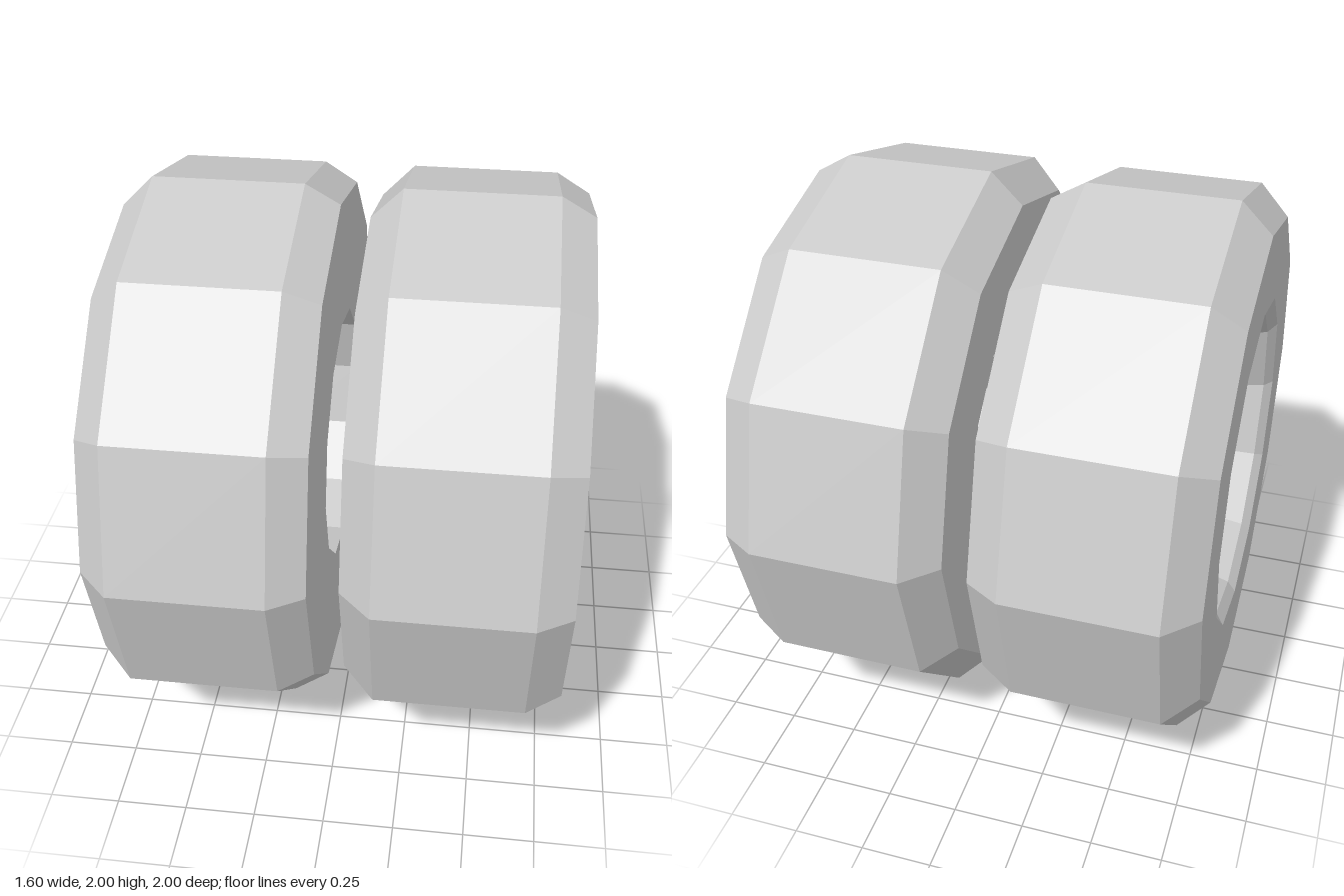
import * as THREE from 'three';

const material = new THREE.MeshStandardMaterial({ color: 0xcccccc, flatShading: true });

// Turns a profile of [radius, x] points (running from -x to +x on the outside) around the x axis
function turned(name, profile, sides = 12) {
  const points = profile.map(([r, x]) => new THREE.Vector2(r, x));
  const geometry = new THREE.LatheGeometry(points, sides);
  geometry.rotateZ(-Math.PI / 2);
  const mesh = new THREE.Mesh(geometry, material);
  mesh.name = name;
  return mesh;
}

// One wheel; its outer face, with the hub, looks towards -x and lies at x = 0
function createWheel(name) {
  const wheel = new THREE.Group();
  wheel.name = name;

  // Tyre with bevelled shoulders and a recess in its inner face
  wheel.add(turned('tyre', [
    [0.6, 0], [0.89, 0], [1, 0.11], [1, 0.63], [0.93, 0.75],
    [0.465, 0.75], [0.465, 0.49], [0, 0.49],
  ]));

  // Dished rim with a narrow bevelled lip
  wheel.add(turned('rim', [
    [0, 0.36], [0.46, 0.36], [0.56, 0.03], [0.6, 0],
  ]));

  // Raised hub plate with sloping sides
  wheel.add(turned('hubPlate', [
    [0, 0.18], [0.32, 0.18], [0.4, 0.36],
  ]));

  // Central hub cap
  wheel.add(turned('hubCap', [
    [0, 0.09], [0.1, 0.09], [0.12, 0.18],
  ], 6));

  // Five hexagonal wheel nuts
  for (let i = 0; i < 5; i++) {
    const angle = (i / 5) * Math.PI * 2;
    const nut = turned('wheelNut', [[0, 0.12], [0.048, 0.12], [0.048, 0.18]], 6);
    nut.position.set(0, Math.cos(angle) * 0.23, Math.sin(angle) * 0.23);
    wheel.add(nut);
  }
  return wheel;
}

export function createModel() {
  const model = new THREE.Group();
  model.name = 'dualWheels';

  // Two identical wheels side by side, both facing the same way
  [['outerWheel', -0.8], ['innerWheel', 0.05]].forEach(([name, x]) => {
    const wheel = createWheel(name);
    wheel.position.set(x, 1, 0);
    model.add(wheel);
  });
  return model;
}
